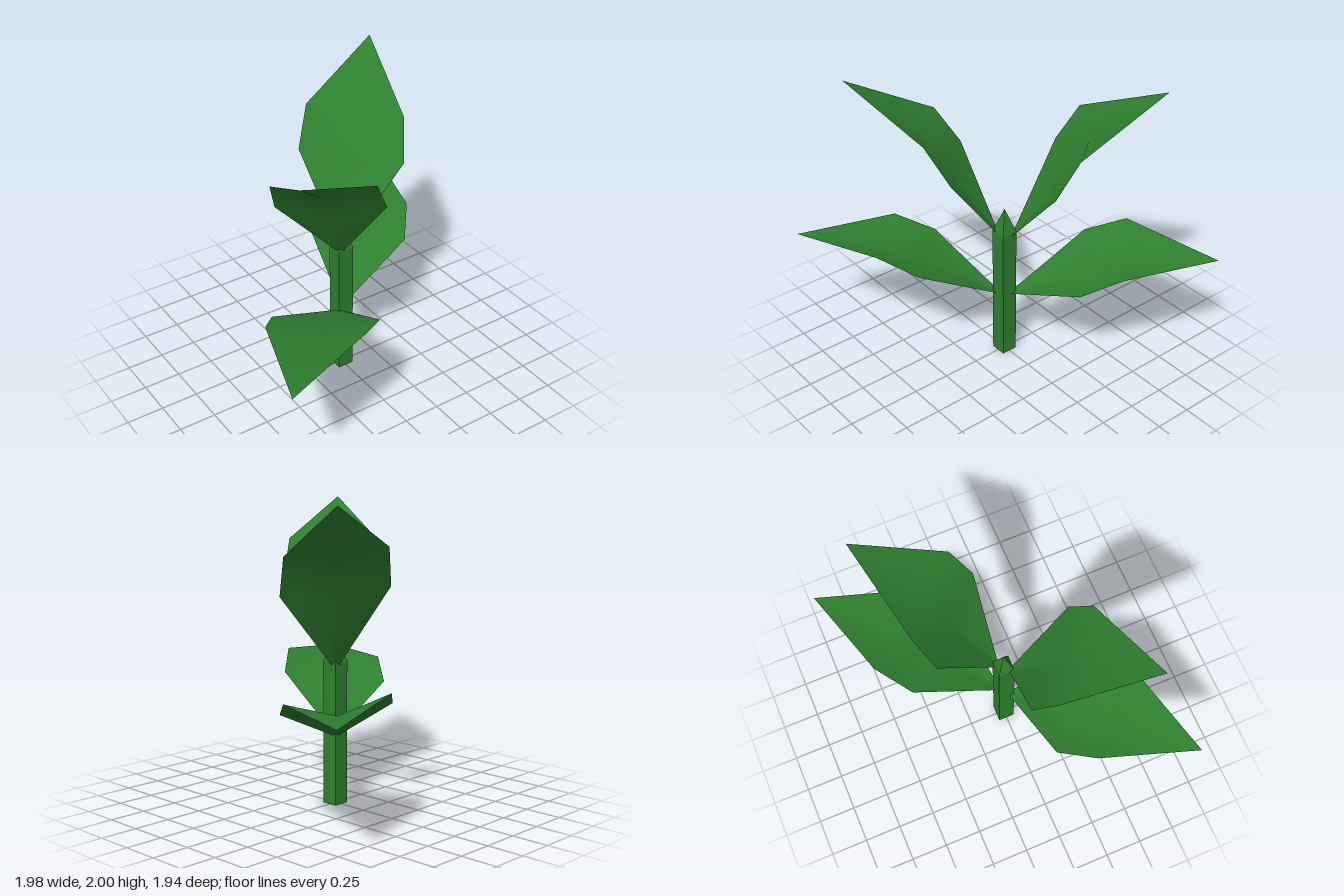
import * as THREE from 'three';

const green = new THREE.MeshStandardMaterial({ color: 0x2f8030, side: THREE.DoubleSide });
green.name = 'leaf green';

// A leaf is a row of [left, rib, right] cross-sections closed by a pointed tip.
function makeLeaf(name, rows, tip) {
  const points = [...rows.flat(), tip];
  const index = [];
  for (let r = 0; r < rows.length - 1; r++) {
    for (let c = 0; c < 2; c++) {
      const a = r * 3 + c, b = a + 1, d = a + 3, e = a + 4;
      index.push(a, b, d, b, e, d);
    }
  }
  const last = (rows.length - 1) * 3, end = points.length - 1;
  index.push(last, last + 1, end, last + 1, last + 2, end);
  const geometry = new THREE.BufferGeometry();
  geometry.setAttribute('position', new THREE.Float32BufferAttribute(points.flat(), 3));
  geometry.setIndex(index);
  geometry.computeVertexNormals();
  const leaf = new THREE.Mesh(geometry, green);
  leaf.name = name;
  return leaf;
}

export function createModel() {
  const plant = new THREE.Group();
  plant.name = 'seedling';

  // Square stem
  const stem = new THREE.Mesh(new THREE.BoxGeometry(0.11, 0.95, 0.11), green);
  stem.name = 'stem';
  stem.position.y = 0.475;
  plant.add(stem);

  // Pointed bud on top of the stem
  const budGeometry = new THREE.ConeGeometry(0.055 * Math.SQRT2, 0.17, 4, 1, true)
    .rotateY(Math.PI / 4).toNonIndexed();
  budGeometry.computeVertexNormals();
  const bud = new THREE.Mesh(budGeometry, green);
  bud.name = 'bud';
  bud.position.y = 1.035;
  plant.add(bud);

  // Lower pair: wide leaves that level out, opposite each other
  const lowerRows = [
    [[0.02, 0.47, -0.055], [0.04, 0.47, -0.04], [0.055, 0.47, -0.02]],
    [[0.12, 0.78, -0.60], [0.38, 0.67, -0.37], [0.61, 0.71, -0.12]],
    [[0.33, 0.90, -0.78], [0.57, 0.77, -0.57], [0.78, 0.835, -0.33]],
  ];
  for (const side of ['Left', 'Right']) {
    const leaf = makeLeaf('lowerLeaf' + side, lowerRows, [0.99, 0.825, -0.97]);
    if (side === 'Right') leaf.rotation.y = Math.PI;
    plant.add(leaf);
  }

  // Upper pair: steeper leaves, one slightly taller than the other
  plant.add(makeLeaf('upperLeafLeft', [
    [[0.02, 0.93, -0.055], [0.04, 0.93, -0.04], [0.055, 0.93, -0.02]],
    [[-0.03, 1.47, -0.45], [0.27, 1.39, -0.265], [0.49, 1.41, 0]],
    [[0.09, 1.725, -0.54], [0.37, 1.65, -0.37], [0.57, 1.67, -0.12]],
  ], [0.70, 2.0, -0.695]));
  plant.add(makeLeaf('upperLeafRight', [
    [[-0.02, 0.95, 0.055], [-0.04, 0.95, 0.04], [-0.055, 0.95, 0.02]],
    [[0.03, 1.465, 0.445], [-0.265, 1.39, 0.255], [-0.48, 1.405, -0.02]],
    [[-0.11, 1.705, 0.535], [-0.39, 1.63, 0.36], [-0.585, 1.65, 0.11]],
  ], [-0.735, 1.96, 0.685]));

  return plant;
}
